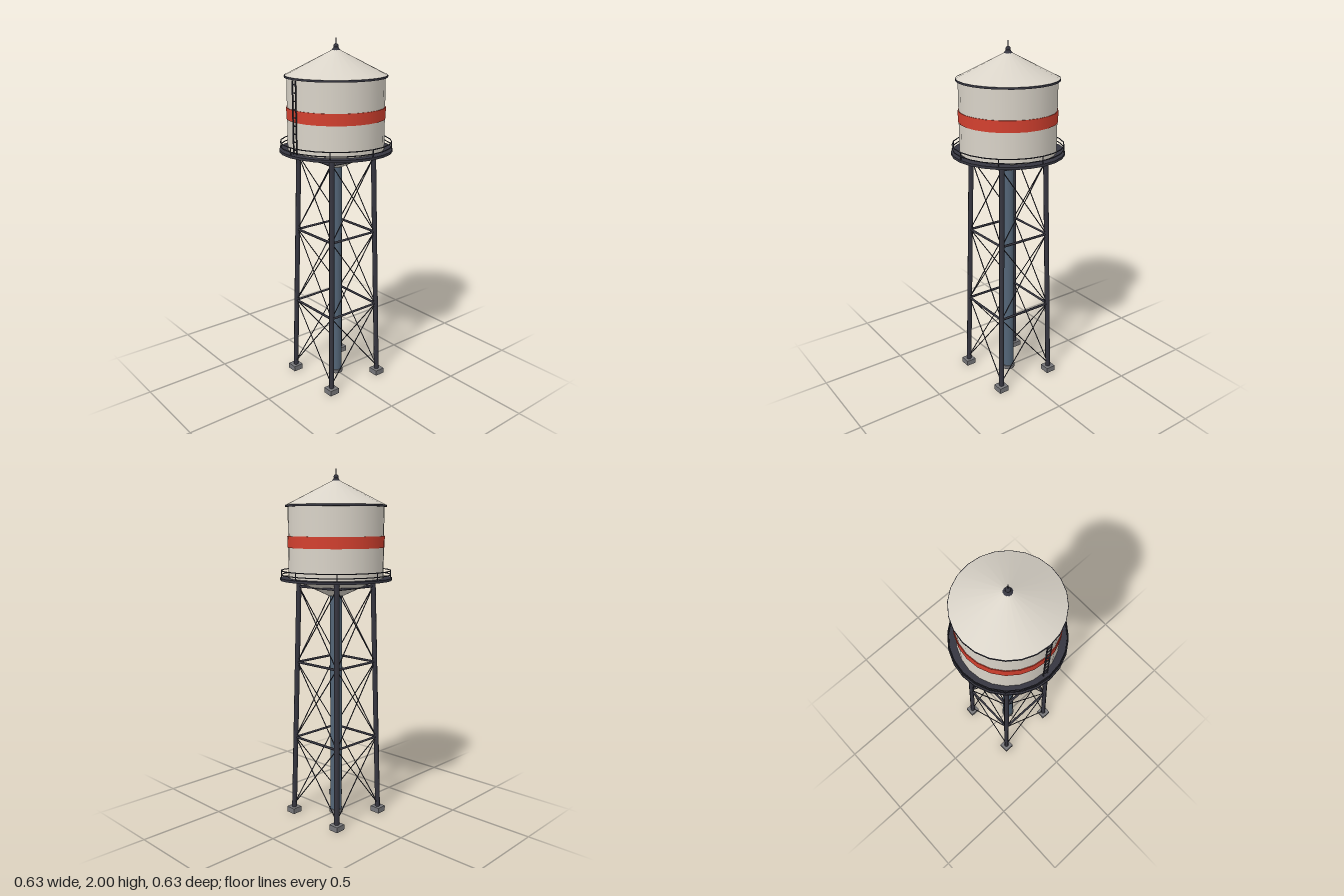
import * as THREE from 'three';

const material = (name, color) => {
  const m = new THREE.MeshStandardMaterial({ color });
  m.name = name;
  return m;
};

export function createModel() {
  const cream = material('cream paint', 0xd9d3c8);
  const red = material('red paint', 0xd3402f);
  const steel = material('dark steel', 0x363640);
  const blue = material('blue grey pipe', 0x536577);
  const concrete = material('concrete', 0x77777a);

  const model = new THREE.Group();
  model.name = 'waterTower';
  const V = (x, y, z) => new THREE.Vector3(x, y, z);

  const add = (name, geometry, mat, x = 0, y = 0, z = 0, parent = model) => {
    const mesh = new THREE.Mesh(geometry, mat);
    mesh.name = name;
    mesh.position.set(x, y, z);
    parent.add(mesh);
    return mesh;
  };
  // Upright cylinder or cone between two heights
  const drum = (name, rTop, rBottom, y0, y1, mat, sides = 24, open = false) =>
    add(name, new THREE.CylinderGeometry(rTop, rBottom, y1 - y0, sides, 1, open), mat, 0, (y0 + y1) / 2, 0);
  // Round bar between two points
  const bar = (name, a, b, r, mat, parent, sides = 6) => {
    const mesh = add(name, new THREE.CylinderGeometry(r, r, a.distanceTo(b), sides), mat, 0, 0, 0, parent);
    mesh.position.copy(a).add(b).multiplyScalar(0.5);
    mesh.quaternion.setFromUnitVectors(V(0, 1, 0), b.clone().sub(a).normalize());
    return mesh;
  };
  const group = (name) => {
    const g = new THREE.Group();
    g.name = name;
    model.add(g);
    return g;
  };

  // Tank
  drum('tankWall', 0.268, 0.268, 1.4, 1.8, cream);
  drum('tankBottom', 0.268, 0.045, 1.305, 1.41, cream);
  drum('tankBand', 0.272, 0.272, 1.575, 1.638, red);
  drum('roofRim', 0.281, 0.281, 1.796, 1.807, steel);
  drum('roof', 0.006, 0.278, 1.807, 1.945, cream);

  // Finial
  drum('finialBase', 0.012, 0.025, 1.935, 1.951, steel, 12);
  add('finialBall', new THREE.SphereGeometry(0.014, 12, 8), steel, 0, 1.957, 0);
  drum('finialRod', 0.002, 0.003, 1.96, 2.0, steel, 6);

  // Walkway with railing
  drum('walkway', 0.315, 0.315, 1.393, 1.407, steel);
  const railing = group('railing');
  for (const y of [1.424, 1.447]) {
    const rail = add('rail', new THREE.TorusGeometry(0.308, 0.003, 6, 24), steel, 0, y, 0, railing);
    rail.rotation.x = Math.PI / 2;
  }
  for (let i = 0; i < 8; i++) {
    const a = (i * Math.PI) / 4;
    const x = 0.308 * Math.sin(a), z = 0.308 * Math.cos(a);
    bar('railPost', V(x, 1.405, z), V(x, 1.447, z), 0.003, steel, railing);
  }

  // Ladder on the front of the tank
  const ladder = group('ladder');
  for (const x of [-0.014, 0.014]) {
    add('ladderRail', new THREE.BoxGeometry(0.005, 0.39, 0.006), steel, x, 1.6, 0.279, ladder);
  }
  for (let i = 0; i < 9; i++) {
    add('rung', new THREE.BoxGeometry(0.028, 0.005, 0.005), steel, 0, 1.43 + i * 0.043, 0.279, ladder);
  }

  // Central pipe
  drum('pipe', 0.034, 0.034, 0.01, 1.32, blue, 16);
  drum('pipeCollar', 0.04, 0.04, 0, 0.022, concrete, 16);

  // Leaning legs on footings
  const legOffset = (y) => 0.177 - (0.029 * (y - 0.03)) / 1.35;
  const corners = [[1, 1], [1, -1], [-1, -1], [-1, 1]];
  const at = ([sx, sz], y) => V(sx * legOffset(y), y, sz * legOffset(y));
  const frame = group('supportFrame');
  for (const c of corners) {
    bar('leg', at(c, 0.02), at(c, 1.385), 0.0145, steel, frame, 8);
    add('footing', new THREE.BoxGeometry(0.06, 0.032, 0.06), concrete, c[0] * 0.178, 0.016, c[1] * 0.178, frame);
  }

  // Horizontal beams and crossed rods on each side
  const levels = [0.05, 0.468, 0.92, 1.357];
  corners.forEach((c, i) => {
    const next = corners[(i + 1) % 4];
    for (let k = 0; k < 3; k++) {
      const low = levels[k], high = levels[k + 1];
      bar('beam', at(c, high), at(next, high), 0.007, steel, frame);
      bar('braceRod', at(c, low), at(next, high), 0.003, steel, frame);
      bar('braceRod', at(next, low), at(c, high), 0.003, steel, frame);
    }
  });

  return model;
}
